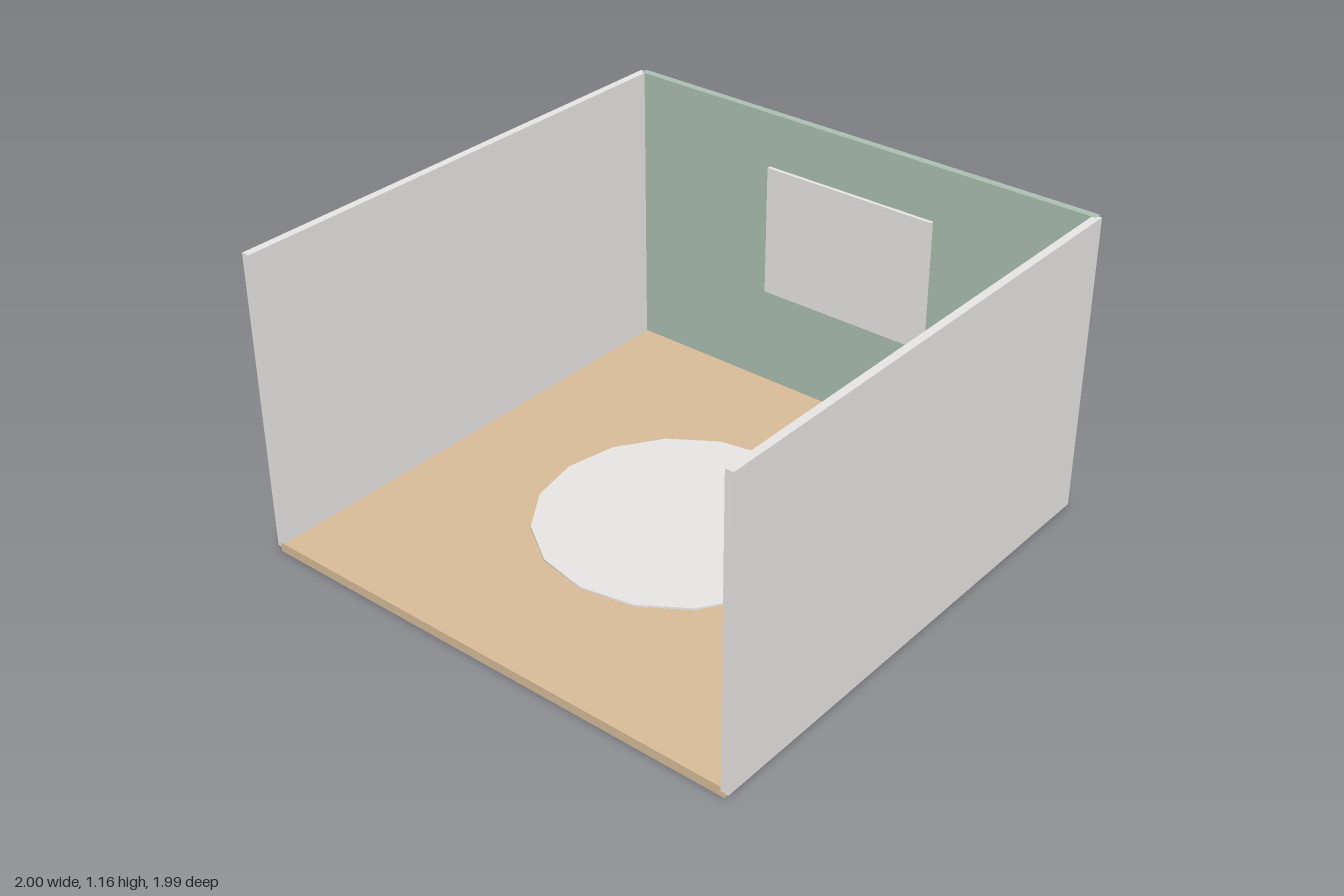
import * as THREE from 'three';

export function createModel() {
  const room = new THREE.Group();
  room.name = 'bedroom';

  const material = (name, color) => {
    const m = new THREE.MeshStandardMaterial({ color });
    m.name = name;
    return m;
  };
  const white = material('warm white', 0xebe9e7);
  const wood = material('light wood', 0xd7bc98);
  const sage = material('sage green', 0xacbfb1);

  const add = (parent, name, geometry, mat, x, y, z) => {
    const mesh = new THREE.Mesh(geometry, mat);
    mesh.name = name;
    mesh.position.set(x, y, z);
    parent.add(mesh);
    return mesh;
  };
  // Box given by its [min, max] range on each axis
  const box = (parent, name, mat, [x0, x1], [y0, y1], [z0, z1]) =>
    add(parent, name, new THREE.BoxGeometry(x1 - x0, y1 - y0, z1 - z0), mat,
      (x0 + x1) / 2, (y0 + y1) / 2, (z0 + z1) / 2);
  const group = (name) => {
    const g = new THREE.Group();
    g.name = name;
    room.add(g);
    return g;
  };

  // Shell: floor, two side walls, back wall; the front and top are open
  const floorTop = 0.036;
  const wallY = [0.018, 1.165];
  const depth = [-0.978, 0.993];
  box(room, 'floor', wood, [-0.985, 0.985], [0, floorTop], depth);
  box(room, 'leftWall', white, [0.97, 1], wallY, depth);
  box(room, 'rightWall', white, [-1, -0.97], wallY, depth);
  box(room, 'backWall', sage, [-0.985, 0.985], wallY, [-0.993, -0.963]);
  box(room, 'windowPanel', white, [-0.361, 0.361], [0.432, 0.953], [-0.965, -0.948]);

  // Round rug
  const rugGeometry = new THREE.CylinderGeometry(0.525, 0.525, 0.008, 16);
  add(room, 'rug', rugGeometry, white, 0, floorTop + 0.004, 0.007);

  // Bed against the back wall
  const bed = group('bed');
  const bedX = 0.591;
  const across = (half, x = bedX) => [x - half, x + half];
  box(bed, 'bedFrame', wood, across(0.246), [floorTop, 0.147], [-0.912, -0.237]);
  box(bed, 'headboard', wood, across(0.263), [0.077, 0.353], [-0.937, -0.914]);
  box(bed, 'mattress', white, across(0.23), [0.14, 0.211], [-0.892, -0.268]);
  for (const side of [-1, 1]) {
    box(bed, side > 0 ? 'leftPillow' : 'rightPillow', white,
      across(0.09, bedX + side * 0.115), [0.205, 0.243], [-0.887, -0.772]);
  }

  // Nightstand with a tapered lamp
  const nightstand = group('nightstand');
  box(nightstand, 'cabinet', wood, [0.146, 0.312], [floorTop, 0.214], [-0.915, -0.771]);
  add(nightstand, 'lamp', new THREE.CylinderGeometry(0.025, 0.046, 0.084, 16), white,
    0.229, 0.256, -0.843);

  return room;
}
